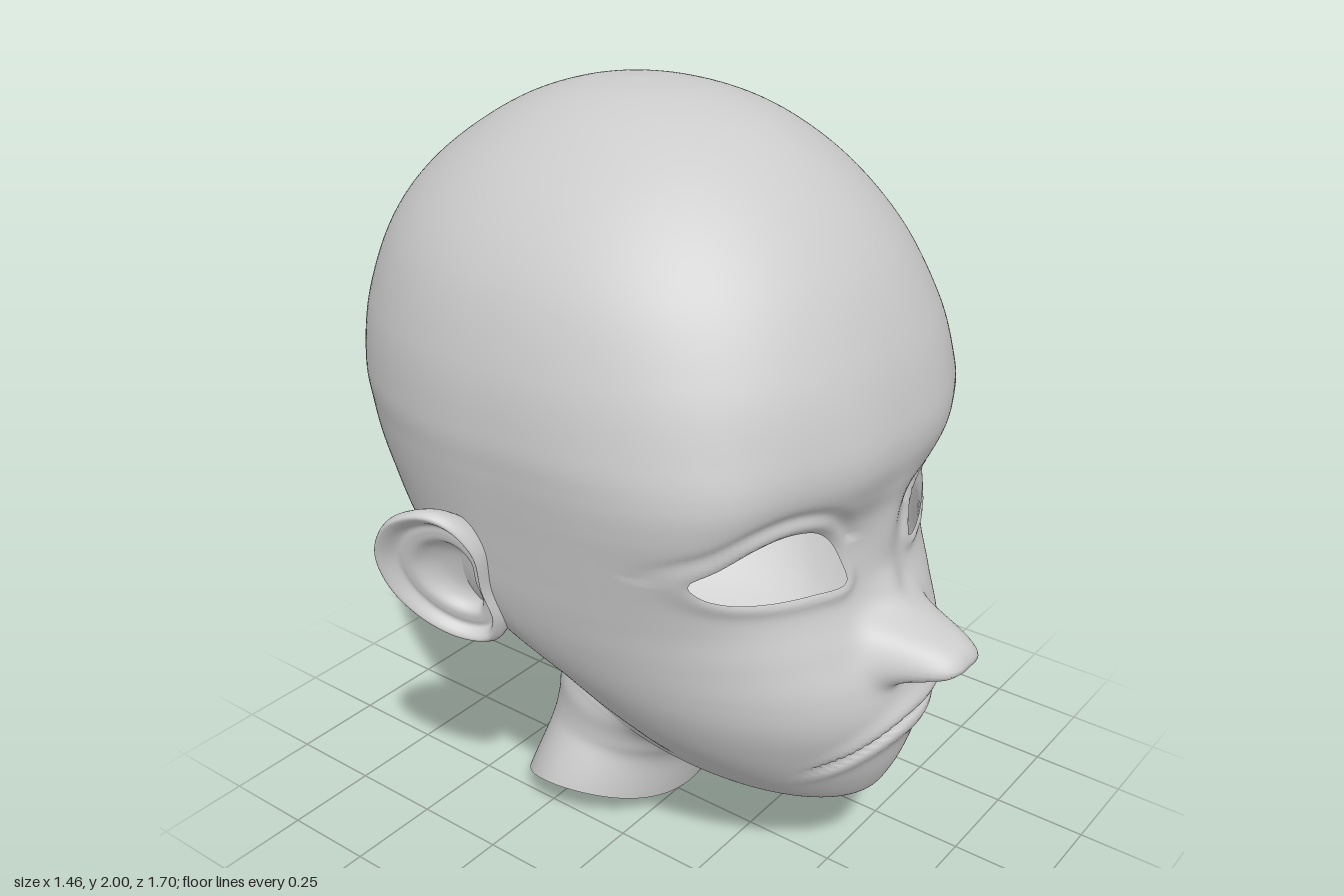
import * as THREE from 'three';
import { mergeVertices } from 'three/addons/utils/BufferGeometryUtils.js';

// Head rings, crown to neck: front z, front y, back z, back y, half width
const RINGS = [
  [-.12, 2, -.12, 2, 0],
  [.06, 1.986, -.28, 1.98, .145],
  [.24, 1.93, -.45, 1.915, .295],
  [.40, 1.82, -.63, 1.79, .45],
  [.53, 1.67, -.745, 1.65, .56],
  [.615, 1.5, -.82, 1.47, .622],
  [.657, 1.35, -.847, 1.31, .641],
  [.663, 1.26, -.838, 1.21, .636],
  [.642, 1.18, -.82, 1.13, .626],
  [.615, 1.1, -.79, 1.06, .615],
  [.60, 1.0, -.748, .975, .602],
  [.61, .90, -.69, .895, .588],
  [.66, .80, -.62, .82, .565],
  [.71, .70, -.555, .75, .53],
  [.725, .60, -.49, .685, .485],
  [.70, .49, -.44, .61, .425],
  [.667, .386, -.41, .55, .355],
  [.614, .30, -.385, .49, .285],
  [.54, .278, -.372, .44, .255],
  [.40, .312, -.365, .40, .242],
  [.24, .312, -.363, .35, .236],
  [.15, .265, -.365, .28, .234],
  [.085, .185, -.385, .17, .25],
  [.042, .053, -.43, .005, .31],
];

// Smooth interpolation down the ring table
function ringAt(t) {
  const last = RINGS.length - 1;
  const i = Math.min(Math.floor(t), last - 1), f = t - i;
  const get = (k, c) => k < 0 ? 2 * RINGS[0][c] - RINGS[1][c]
    : k > last ? 2 * RINGS[last][c] - RINGS[last - 1][c] : RINGS[k][c];
  return RINGS[0].map((_, c) => {
    const [a, b, d, e] = [get(i - 1, c), get(i, c), get(i + 1, c), get(i + 2, c)];
    return b + .5 * f * (d - a + f * (2 * a - 5 * b + 4 * d - e + f * (3 * (b - d) + e - a)));
  });
}

const bump = (d, r, p = 2) => Math.exp(-Math.pow(Math.abs(d) / r, p));
const closedCurve = (pts, n) => new THREE.CatmullRomCurve3(
  pts.map(([x, y]) => new THREE.Vector3(x, y, 0)), true).getSpacedPoints(n).slice(0, n);

// Almond opening of one eye, mirrored through |x|
const EYE = closedCurve([[.143, .96], [.152, 1.01], [.185, 1.075], [.25, 1.127], [.33, 1.145],
  [.41, 1.13], [.47, 1.095], [.512, 1.06], [.485, 1.018], [.43, .988], [.35, .97], [.24, .961]], 90);

// Signed distance to the eye opening, negative inside
function eyeDistance(px, py) {
  const x = Math.abs(px);
  if (x > .7 || py < .8 || py > 1.3) return 1;
  let best = 1, inside = false;
  EYE.forEach((a, i) => {
    const b = EYE[(i + 1) % EYE.length];
    const ex = b.x - a.x, ey = b.y - a.y;
    const t = THREE.MathUtils.clamp(((x - a.x) * ex + (py - a.y) * ey) / (ex * ex + ey * ey), 0, 1);
    best = Math.min(best, Math.hypot(x - a.x - t * ex, py - a.y - t * ey));
    if ((a.y > py) !== (b.y > py) && x < a.x + (py - a.y) * ex / ey) inside = !inside;
  });
  return inside ? -best : best;
}

// Forward relief of the face
function faceRelief(x, y, eye) {
  const side = Math.abs(x);
  // Flattened brow and eye sockets
  let z = -.04 * bump(side - .36, .15) * bump(y - 1.15, .22);
  z -= .035 * bump(side - .27, .17) * bump(y - 1.07, .09);
  // Nose: bridge, tip, wings and nostrils
  z += .025 * bump(x, .075) * bump(y - 1.03, .12);
  z += .175 * bump(x, .105, 3) * bump(y - .772, y > .772 ? .068 : .055, 3);
  z += .03 * bump(x, .06) * bump(y - .88, .06);
  z += .045 * bump(side - .095, .045) * bump(y - .755, .045);
  z -= .035 * bump(side - .055, .028) * bump(y - .715, .018);
  // Lips along the slanting mouth line
  const d = y - (.58 - (x < 0 ? 2 : .1) * x * x);
  const fade = 1 - THREE.MathUtils.smoothstep(side, x < 0 ? .19 : .15, x < 0 ? .26 : .22);
  z += fade * (.015 * bump(d - .035, .028) + .012 * bump(d + .042, .03) - .028 * bump(d, .011));
  // Lids
  z += .012 * bump(eye - .012, .02) - (y > 1.06 ? .008 * bump(eye - .05, .016) : 0);
  return z;
}

// Closed-loop grid of points; triangles are trimmed where the cut value is negative
function loft(rows, cols, point, flip = false) {
  const grid = [], out = [];
  for (let i = 0; i <= rows; i++) {
    grid.push([]);
    for (let j = 0; j < cols; j++) grid[i].push(point(i, j));
  }
  const addTriangle = (tri) => {
    const poly = [];
    tri.forEach((a, k) => {
      const b = tri[(k + 1) % 3];
      if (a.cut >= 0) poly.push(a.pos);
      if ((a.cut < 0) !== (b.cut < 0)) poly.push(a.pos.clone().lerp(b.pos, a.cut / (a.cut - b.cut)));
    });
    for (let k = 1; k + 1 < poly.length; k++) {
      const [p, q] = flip ? [poly[k + 1], poly[k]] : [poly[k], poly[k + 1]];
      out.push(...poly[0].toArray(), ...p.toArray(), ...q.toArray());
    }
  };
  for (let i = 0; i < rows; i++) {
    for (let j = 0; j < cols; j++) {
      const n = (j + 1) % cols;
      const [a, b, c, d] = [grid[i][j], grid[i + 1][j], grid[i + 1][n], grid[i][n]];
      addTriangle([a, b, c]);
      addTriangle([a, c, d]);
    }
  }
  const geo = new THREE.BufferGeometry();
  geo.setAttribute('position', new THREE.Float32BufferAttribute(out, 3));
  const merged = mergeVertices(geo, 1e-5);
  merged.computeVertexNormals();
  return merged;
}

// Head and neck shell, open at the eyes and below the neck
function headGeometry() {
  const perRing = 9, cols = 220, rows = perRing * (RINGS.length - 1);
  return loft(rows, cols, (i, j) => {
    const t = i / perRing;
    const [fz, fy, bz, by, w] = ringAt(t);
    const u = 2 * j / cols - 1;
    const a = Math.PI * u * (.6 + .4 * Math.abs(u));
    const s = Math.sin(a), c = Math.cos(a);
    // Squarer brow, narrower chin, and jaw rings pinched behind towards the neck
    const n = c > 0 ? 2 + 1.1 * bump(t - 8.3, 3) - .22 * bump(t - 17, 2) : 2 - .4 * bump(t - 15.5, 2.5);
    const k = .505 + .05 * bump(t - 12.5, 1.8) - .05 * bump(t - 16.5, 1.8);
    const r = Math.pow(Math.pow(Math.abs(s), n) + Math.pow(Math.abs(c), n), -1 / n);
    const f = k - (c > 0 ? k : 1 - k) * c * r;
    const arch = .09 * s * s * THREE.MathUtils.smoothstep(t, RINGS.length - 3, RINGS.length - 1);
    const pos = new THREE.Vector3(w * s * r, fy + (by - fy) * f + arch, fz + (bz - fz) * f);
    if (pos.z < .2) return { pos, cut: 1 };
    const cut = eyeDistance(pos.x, pos.y);
    pos.z += faceRelief(pos.x, pos.y, cut);
    return { pos, cut };
  });
}

// Ear: an outline in (z, y) swept through a dished profile of [scale, depth]
function earGeometry() {
  const outline = closedCurve([[-.105, 1.02], [-.15, 1.095], [-.21, 1.117], [-.3, 1.08], [-.357, .98],
    [-.345, .86], [-.28, .768], [-.2, .727], [-.13, .735], [-.1, .8], [-.108, .9]], 72);
  const profile = new THREE.CatmullRomCurve3([[0, -.065], [.3, -.06], [.45, -.045], [.56, -.022], [.68, -.018],
    [.78, -.018], [.87, .004], [.95, .01], [1, -.012], [.95, -.045], [.75, -.08], [.4, -.115], [0, -.13]]
    .map(([s, d]) => new THREE.Vector3(s, d, 0)));
  const rows = 48;
  return loft(rows, outline.length, (i, j) => {
    const p = profile.getPoint(i / rows), o = outline[j];
    const s = Math.max(0, p.x);
    const z = -.2 + (o.x + .2) * s, y = .91 + (o.y - .91) * s;
    return { pos: new THREE.Vector3(.655 - .4 * (z + .225) + .25 * (y - .93) + p.y, y, z), cut: 1 };
  }, true);
}

export function createModel() {
  const group = new THREE.Group();
  const material = new THREE.MeshStandardMaterial({ color: 0xcccccc, side: THREE.DoubleSide });

  const head = new THREE.Mesh(headGeometry(), material);
  head.name = 'headAndNeck';
  group.add(head);

  const earShape = earGeometry();
  for (const side of [1, -1]) {
    const ear = new THREE.Mesh(earShape, material);
    ear.name = side > 0 ? 'leftEar' : 'rightEar';
    ear.scale.x = side;
    group.add(ear);
  }
  return group;
}
